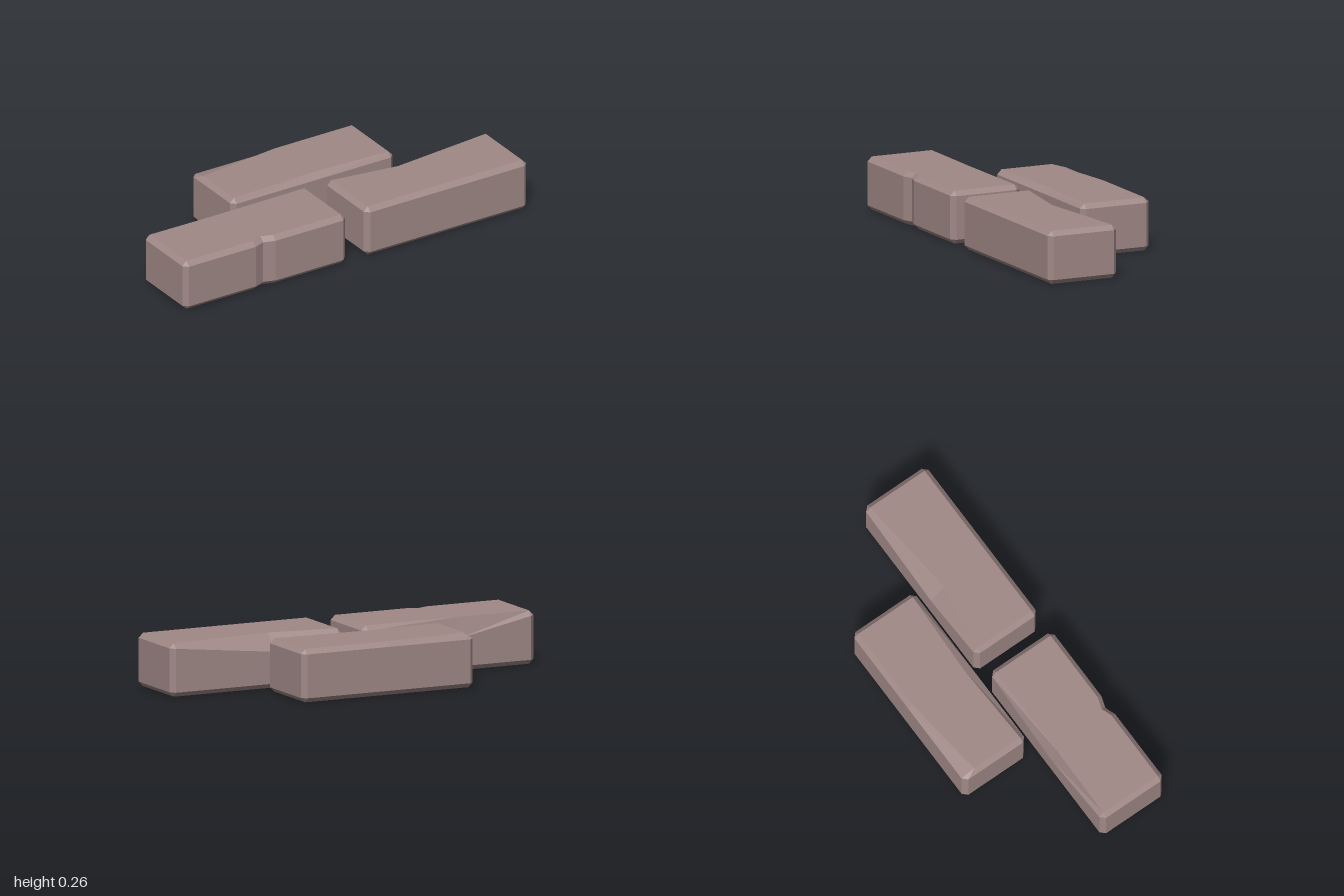
import * as THREE from 'three';

const HX = 0.4725, HZ = 0.1875, H = 0.265, B = 0.0235; // half sizes, height, chamfer

// One long side of a brick as columns; wear points are [x, cut, inset, drop]:
// cut pushes the whole column in, inset moves the top edge, drop lowers the chamfer.
function sideColumns(sign, wear) {
  const ends = [-1, 1].map(s => [s * (HX - B), 0, 0, 0]);
  const points = ends.filter(e => !wear.some(w => Math.abs(w[0] - e[0]) < 1e-6)).concat(wear);
  points.sort((a, b) => sign * (a[0] - b[0]));
  const cols = points.map(([x, cut, inset, drop]) => {
    const z = HZ - cut;
    return {
      bottom: [x, 0, sign * (z - B)], low: [x, B, sign * z],
      high: [x, H - B - drop, sign * z], top: [x, H, sign * (z - B - inset)],
    };
  });
  // Columns on the short ends share the rim corners of this side
  const corner = (col, sx) => ({
    ...col, low: [sx * HX, B, sign * (HZ - B)], high: [sx * HX, H - B, sign * (HZ - B)],
  });
  return [corner(cols[0], -sign), ...cols, corner(cols[cols.length - 1], sign)];
}

function brickGeometry(front, back) {
  const cols = [...sideColumns(1, front), ...sideColumns(-1, back)];
  const pos = [];
  const tri = (a, b, c) => {
    const same = (p, q) => p.every((v, i) => v === q[i]);
    if (!same(a, b) && !same(b, c) && !same(a, c)) pos.push(...a, ...b, ...c);
  };
  // Lower chamfer, wall and upper chamfer
  const levels = ['bottom', 'low', 'high', 'top'];
  cols.forEach((p, i) => {
    const q = cols[(i + 1) % cols.length];
    for (let k = 0; k < 3; k++) {
      const lo = levels[k], hi = levels[k + 1];
      tri(p[lo], q[lo], q[hi]);
      tri(p[lo], q[hi], p[hi]);
    }
  });
  // Flat top and underside
  for (const level of ['top', 'bottom']) {
    const ring = cols.map(c => c[level])
      .filter((p, i, all) => i === 0 || p.some((v, k) => v !== all[i - 1][k]));
    if (ring[0].every((v, k) => v === ring[ring.length - 1][k])) ring.pop();
    const faces = THREE.ShapeUtils.triangulateShape(
      ring.map(p => new THREE.Vector2(p[0], -p[2])), []);
    for (const [a, b, c] of faces) {
      if (level === 'top') tri(ring[a], ring[b], ring[c]);
      else tri(ring[c], ring[b], ring[a]);
    }
  }
  const geometry = new THREE.BufferGeometry();
  geometry.setAttribute('position', new THREE.Float32BufferAttribute(pos, 3));
  geometry.computeVertexNormals();
  return geometry;
}

export function createModel() {
  const group = new THREE.Group();
  group.name = 'bricks';
  const clay = new THREE.MeshStandardMaterial({ color: 0xa08987, flatShading: true });
  clay.name = 'dusty clay';

  const bricks = [
    // Notched front face, chipped back edge
    { name: 'frontRightBrick', x: -0.5275, z: 0.215,
      front: [[-0.06, 0, 0, 0], [-0.005, 0.02, 0, 0], [0.055, 0, 0, 0]],
      back: [[-0.05, 0, 0.004, 0.08]] },
    // Wide chip along the back edge
    { name: 'frontLeftBrick', x: 0.5275, z: 0.215,
      front: [], back: [[-0.095, 0, 0.053, 0.06]] },
    // Worn front edge and one worn back corner
    { name: 'backBrick', x: 0.0275, z: -0.215,
      front: [[0, 0, 0.018, 0]],
      back: [[-(HX - B), 0, 0.053, 0], [0, 0, 0, 0]] },
  ];
  for (const { name, x, z, front, back } of bricks) {
    const mesh = new THREE.Mesh(brickGeometry(front, back), clay);
    mesh.name = name;
    mesh.position.set(x, 0, z);
    group.add(mesh);
  }
  return group;
}
